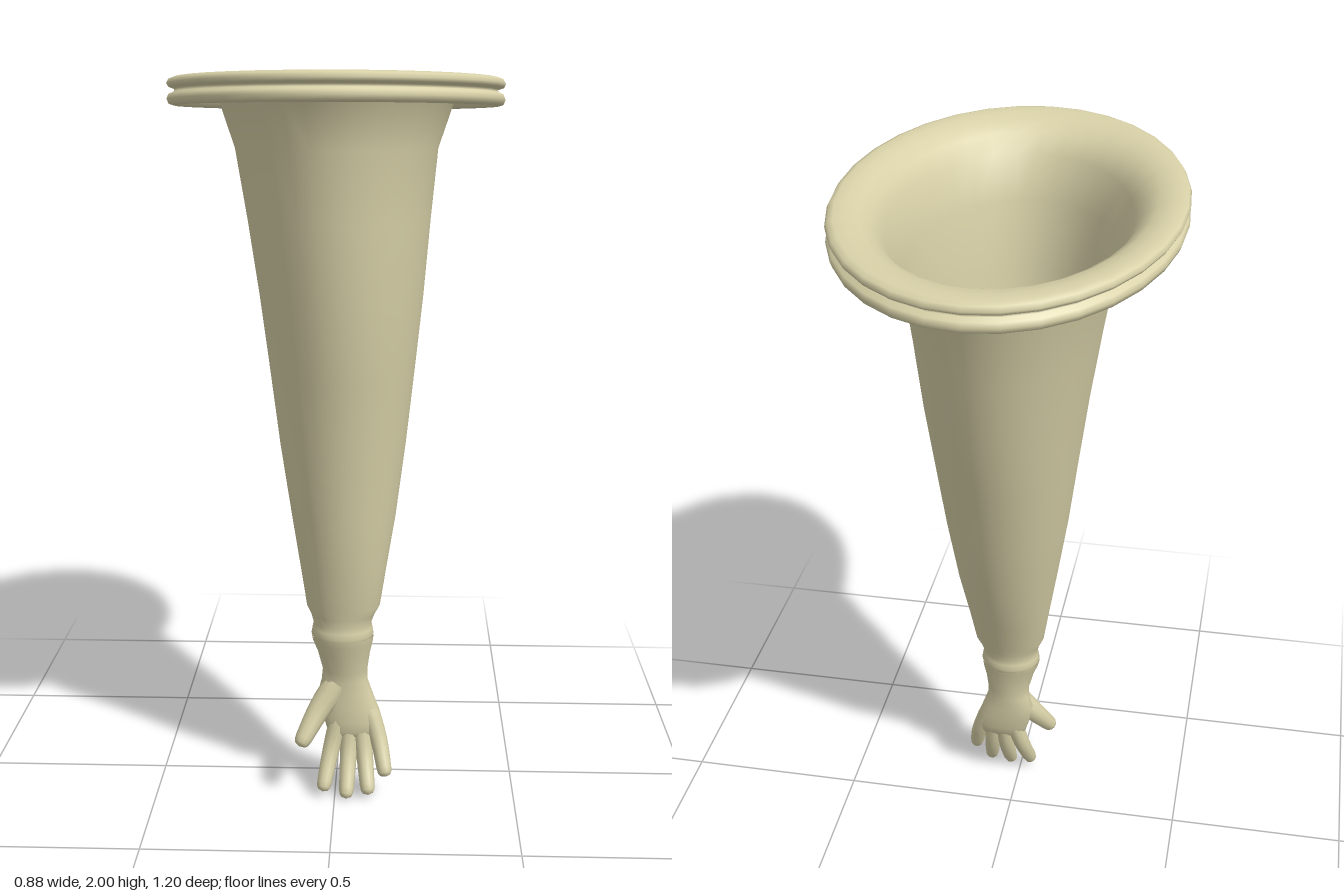
import * as THREE from 'three';

const V = (x, y, z) => new THREE.Vector3(x, y, z);

// Skin a closed surface through rings { c, u, v }: centre and two half-axes.
function loft(name, rings, sides, material) {
  const pos = [], index = [];
  rings.forEach(({ c, u, v }, i) => {
    for (let j = 0; j < sides; j++) {
      const a = (j / sides) * Math.PI * 2;
      const p = c.clone().addScaledVector(u, Math.cos(a)).addScaledVector(v, Math.sin(a));
      pos.push(p.x, p.y, p.z);
      if (i === rings.length - 1) continue;
      const k = (j + 1) % sides, n = i * sides;
      index.push(n + j, n + k, n + sides + j, n + k, n + sides + k, n + sides + j);
    }
  });
  const g = new THREE.BufferGeometry();
  g.setAttribute('position', new THREE.Float32BufferAttribute(pos, 3));
  g.setIndex(index);
  g.computeVertexNormals();
  const mesh = new THREE.Mesh(g, material);
  mesh.name = name;
  return mesh;
}

// Level or tilted elliptical section: height, x centre, z centre, half-sizes, slope along z.
const section = ([y, cx, cz, rx, rz, slope = 0]) =>
  ({ c: V(cx, y, cz), u: V(rx, 0, 0), v: V(0, rz * slope, rz) });

// Tapered finger with a rounded tip, swept along a curve.
function finger(name, points, r0, r1, material) {
  const curve = new THREE.CatmullRomCurve3(points.map(p => V(...p)));
  const rings = [0, 0.15, 0.3, 0.45, 0.6, 0.75, 0.87, 0.94, 0.98, 1].map((t, i, all) => {
    const cap = [1, 0.92, 0.68, 0.02][Math.max(0, i - all.length + 4)];
    const r = THREE.MathUtils.lerp(r0, r1, t) * cap;
    const d = curve.getTangentAt(t);
    const u = V(1, 0, 0).addScaledVector(d, -d.x).normalize();
    const v = d.clone().cross(u);
    return { c: curve.getPointAt(t), u: u.multiplyScalar(r), v: v.multiplyScalar(r) };
  });
  return loft(name, rings, 10, material);
}

export function createModel() {
  const group = new THREE.Group();
  const mat = new THREE.MeshStandardMaterial({ color: 0xd8d1a8, side: THREE.DoubleSide });

  // Double-rimmed oval flange, from the lower lip over the top to the flared mouth
  const tilt = 0.058;
  const flange = [
    [1.915, 0.405, 0.562], [1.897, 0.412, 0.570], [1.892, 0.425, 0.583],
    [1.896, 0.437, 0.597], [1.909, 0.442, 0.602], [1.921, 0.437, 0.597],
    [1.927, 0.423, 0.581], [1.934, 0.422, 0.580], [1.939, 0.437, 0.596],
    [1.948, 0.442, 0.602], [1.959, 0.436, 0.595], [1.964, 0.422, 0.578],
    [1.963, 0.395, 0.545], [1.955, 0.364, 0.503], [1.935, 0.335, 0.462],
    [1.895, 0.305, 0.419],
  ].map(([y, rx, rz]) => section([y, 0, 0, rx, rz, tilt]));

  // Long sleeve narrowing to the gathered wrist
  const sleeve = [
    [1.785, 0, 0.005, 0.268, 0.382, 0.045],
    [1.6, 0.007, 0.02, 0.243, 0.342, 0.035],
    [1.4, 0.014, 0.035, 0.219, 0.305, 0.025],
    [1.2, 0.017, 0.05, 0.195, 0.253, 0.015],
    [1.0, 0.019, 0.064, 0.171, 0.202, 0.01],
    [0.8, 0.022, 0.085, 0.142, 0.157],
    [0.65, 0.022, 0.103, 0.117, 0.112],
    [0.55, 0.022, 0.112, 0.101, 0.083],
    [0.525, 0.021, 0.113, 0.088, 0.076],
    [0.5, 0.02, 0.115, 0.08, 0.07],
    [0.485, 0.02, 0.115, 0.083, 0.072],
    [0.468, 0.02, 0.115, 0.086, 0.075],
    [0.456, 0.02, 0.115, 0.08, 0.07],
  ].map(section);
  group.add(loft('flangedSleeve', [...flange, ...sleeve], 32, mat));

  // Hand: open flared cuff, wrist and flattened palm
  const hand = new THREE.Group();
  hand.name = 'hand';
  hand.add(loft('palm', [
    [0.462, 0.02, 0.116, 0.086, 0.073],
    [0.445, 0.021, 0.116, 0.083, 0.069],
    [0.41, 0.024, 0.115, 0.072, 0.058],
    [0.36, 0.027, 0.113, 0.062, 0.048],
    [0.33, 0.026, 0.112, 0.064, 0.043],
    [0.29, 0.028, 0.112, 0.076, 0.04],
    [0.25, 0.038, 0.114, 0.081, 0.037],
    [0.21, 0.049, 0.118, 0.08, 0.033],
    [0.18, 0.051, 0.122, 0.073, 0.027],
    [0.162, 0.05, 0.125, 0.058, 0.015],
    [0.158, 0.05, 0.126, 0.002, 0.002],
  ].map(section), 16, mat));

  const fingers = {
    indexFinger: [[0.012, 0.22, 0.118], [-0.01, 0.13, 0.132], [-0.033, 0.02, 0.185]],
    middleFinger: [[0.042, 0.22, 0.115], [0.038, 0.12, 0.134], [0.032, 0.004, 0.195]],
    ringFinger: [[0.07, 0.22, 0.115], [0.082, 0.12, 0.136], [0.094, 0.015, 0.192]],
    littleFinger: [[0.095, 0.24, 0.115], [0.122, 0.16, 0.135], [0.142, 0.065, 0.18]],
  };
  for (const [name, path] of Object.entries(fingers)) hand.add(finger(name, path, 0.027, 0.02, mat));
  hand.add(finger('thumb', [[0.005, 0.315, 0.118], [-0.043, 0.25, 0.142], [-0.097, 0.158, 0.192]], 0.039, 0.022, mat));
  group.add(hand);
  return group;
}
